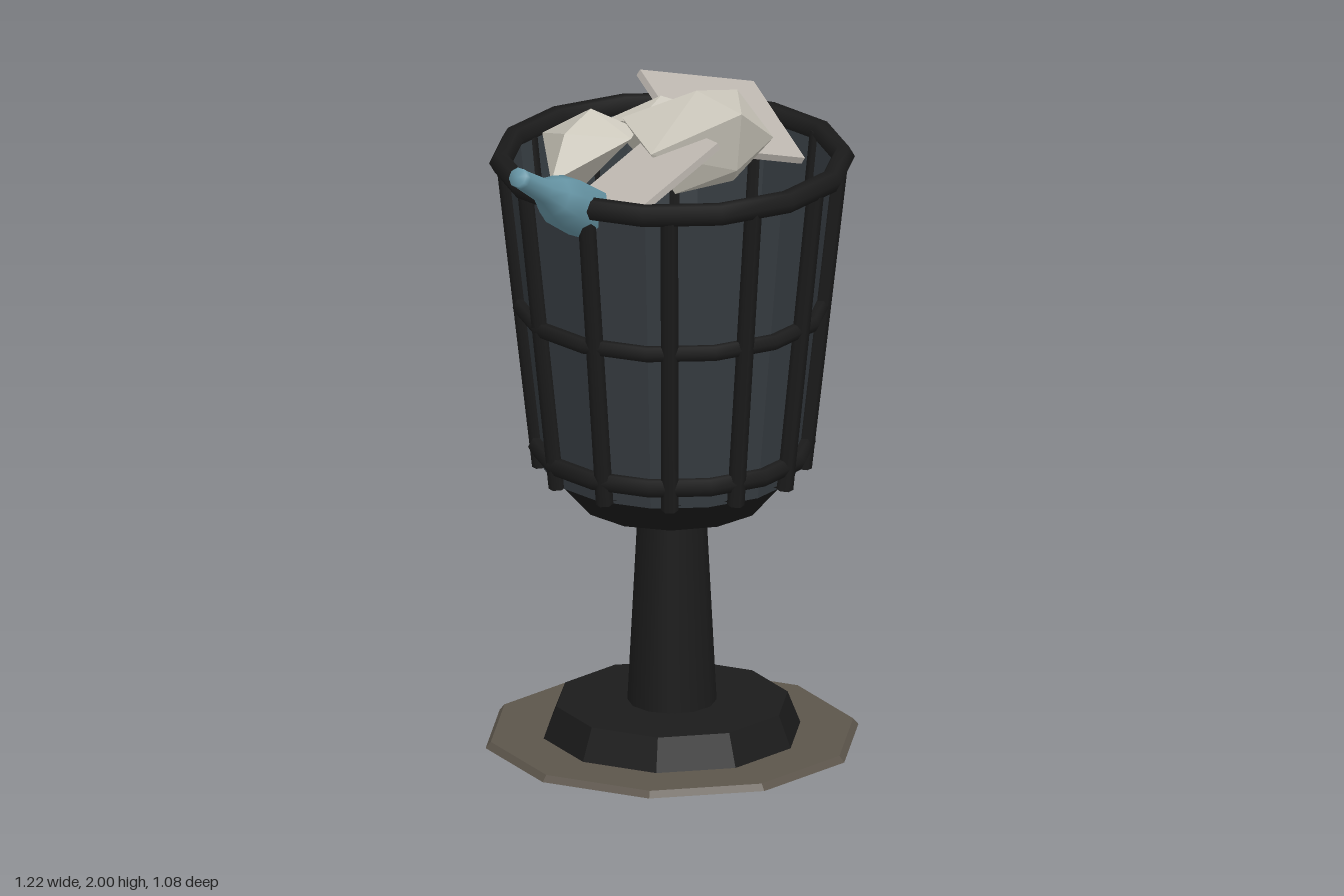
import * as THREE from 'three';
import { ConvexGeometry } from 'three/addons/geometries/ConvexGeometry.js';

const V = (x, y, z) => new THREE.Vector3(x, y, z);
const mat = (color, flatShading = false, side = THREE.FrontSide) =>
  new THREE.MeshStandardMaterial({ color, flatShading, side });

const iron = mat(0x1b1b1b, true);
const ironRound = mat(0x1b1b1b);
const liner = mat(0x363c41, true, THREE.DoubleSide);
const stone = mat(0x5c554b, true);
const paper = mat(0xccc8bc, true);
const card = mat(0xbdb7b0, true);
const glass = mat(0x6796a6);

function add(parent, name, geometry, material) {
  const mesh = new THREE.Mesh(geometry, material);
  mesh.name = name;
  parent.add(mesh);
  return mesh;
}

// Round part between two heights
function tier(parent, name, y0, y1, r0, r1, sides, material, open = false) {
  const mesh = add(parent, name, new THREE.CylinderGeometry(r1, r0, y1 - y0, sides, 1, open), material);
  mesh.position.y = (y0 + y1) / 2;
  return mesh;
}

// Hoop lying flat around the bin
function hoop(parent, name, y, radius, tube) {
  const mesh = add(parent, name, new THREE.TorusGeometry(radius, tube, 6, 14).rotateX(Math.PI / 2), ironRound);
  mesh.position.y = y;
}

// Straight part stretched from a to b along its own y axis
function align(mesh, a, b) {
  mesh.position.copy(a);
  mesh.quaternion.setFromUnitVectors(V(0, 1, 0), b.clone().sub(a).normalize());
}

// Thin slab from one corner and its two edge vectors
function slab(parent, name, corner, u, v, thickness) {
  const n = u.clone().cross(v).normalize();
  const mesh = add(parent, name, new THREE.BoxGeometry(1, 1, 1), card);
  const m = new THREE.Matrix4().makeBasis(u, v, n.clone().multiplyScalar(thickness));
  m.setPosition(corner.clone().addScaledVector(u, 0.5).addScaledVector(v, 0.5).addScaledVector(n, -thickness / 2));
  mesh.geometry.applyMatrix4(m);
}

function crumple(parent, name, points) {
  add(parent, name, new ConvexGeometry(points.map((p) => V(...p))), paper);
}

export function createModel() {
  const model = new THREE.Group();
  model.name = 'litterBin';

  const bin = new THREE.Group();
  bin.name = 'bin';
  bin.position.x = 0.073;
  model.add(bin);

  // Ground slab, foot and post
  tier(bin, 'groundSlab', 0.008, 0.026, 0.54, 0.525, 10, stone);
  tier(bin, 'foot', 0, 0.12, 0.382, 0.335, 10, iron);
  tier(bin, 'post', 0.1, 0.74, 0.128, 0.095, 12, ironRound);

  // Cup below the basket, and the open liner
  tier(bin, 'cup', 0.72, 0.83, 0.265, 0.365, 12, iron);
  tier(bin, 'liner', 0.82, 1.75, 0.365, 0.468, 14, liner, true).rotation.y = Math.PI / 14;

  // Upright bars
  const barCount = 12;
  for (let i = 0; i < barCount; i++) {
    const a = (i / barCount) * Math.PI * 2;
    const low = V(Math.sin(a) * 0.373, 0.82, Math.cos(a) * 0.373);
    const high = V(Math.sin(a) * 0.477, 1.75, Math.cos(a) * 0.477);
    const length = low.distanceTo(high);
    const bar = add(bin, 'uprightBar',
      new THREE.CylinderGeometry(0.025, 0.025, length, 6).translate(0, length / 2, 0), ironRound);
    align(bar, low, high);
  }

  // Hoops
  hoop(bin, 'rim', 1.745, 0.488, 0.033);
  hoop(bin, 'middleHoop', 1.308, 0.43, 0.024);
  hoop(bin, 'lowerHoop', 0.888, 0.382, 0.028);

  const litter = new THREE.Group();
  litter.name = 'litter';
  model.add(litter);

  // Crumpled paper
  crumple(litter, 'frontPaperBall', [
    [-0.09, 1.9, 0.0], [-0.09, 1.84, 0.17], [0.07, 2.0, 0.15], [0.13, 1.965, 0.305],
    [0.23, 1.96, 0.1], [0.3, 1.83, 0.185], [0.295, 1.82, 0.03], [0.14, 1.93, 0.01],
    [0.14, 1.78, 0.26], [0.0, 1.7, 0.15], [0.2, 1.7, 0.13], [0.05, 1.75, 0.0],
  ]);
  crumple(litter, 'leftPaperBall', [
    [-0.185, 1.78, -0.295], [-0.37, 1.78, 0.09], [-0.015, 1.84, -0.045], [-0.13, 1.9, -0.11],
    [-0.26, 1.87, -0.03], [-0.06, 1.83, 0.0], [-0.06, 1.82, -0.18], [-0.2, 1.66, -0.08],
  ]);
  crumple(litter, 'backPaperBall', [
    [0.03, 1.8, -0.25], [0.1, 1.85, -0.2], [0.18, 1.86, -0.1], [0.17, 1.88, -0.03],
    [0.07, 1.92, -0.06], [-0.02, 1.86, -0.04], [-0.04, 1.83, -0.18], [0.06, 1.68, -0.08],
  ]);
  crumple(litter, 'rightPaperBall', [
    [0.17, 1.84, -0.07], [0.305, 1.83, -0.125], [0.31, 1.78, 0.01], [0.2, 1.87, 0.03],
    [0.24, 1.89, -0.04], [0.24, 1.7, -0.03],
  ]);

  // Flat pieces of card
  slab(litter, 'rightCard', V(0.1, 1.8, 0.065), V(0.4, -0.12, -0.055), V(0, 0.14, -0.3), 0.022);
  slab(litter, 'leftCard', V(-0.25, 1.735, 0.34), V(0.305, 0.155, -0.04), V(-0.03, 0, -0.24), 0.022);

  // Bottle leaning over the rim
  const profile = [
    [0, 0], [0.072, 0], [0.079, 0.03], [0.077, 0.18], [0.06, 0.24],
    [0.036, 0.3], [0.029, 0.42], [0.029, 0.445], [0, 0.445],
  ].map(([r, y]) => new THREE.Vector2(r, y));
  const bottle = add(litter, 'bottle', new THREE.LatheGeometry(profile, 8), glass);
  align(bottle, V(-0.265, 1.675, 0.15), V(-0.59, 1.895, 0.31));

  return model;
}
